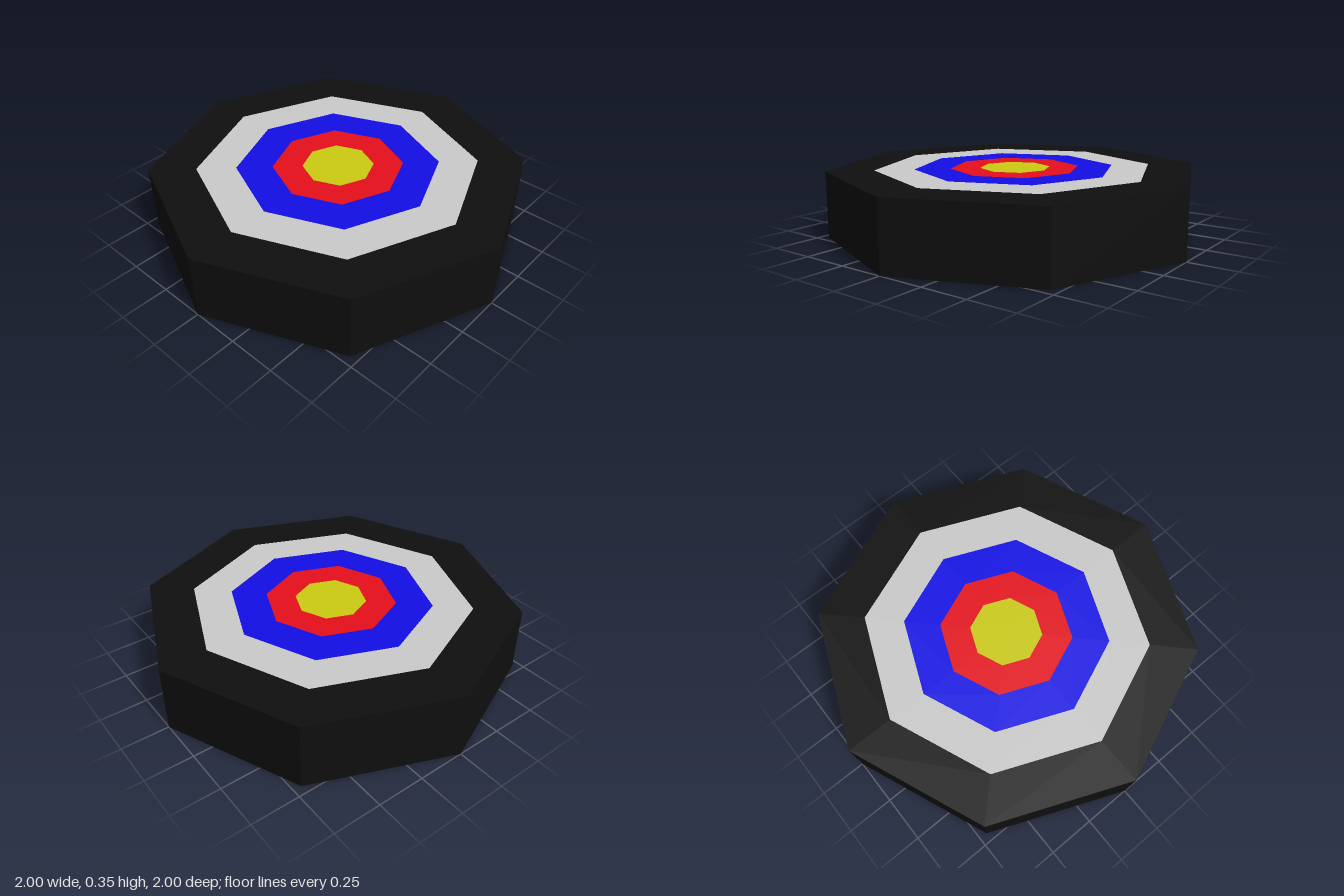
import * as THREE from 'three';

const SIDES = 8;
const HEIGHT = 0.355;

function material(color) {
  return new THREE.MeshStandardMaterial({ color, flatShading: true });
}

function addMesh(group, name, geometry, mat) {
  const mesh = new THREE.Mesh(geometry, mat);
  mesh.name = name;
  group.add(mesh);
}

// Flat octagonal band lying on the top face
function band(inner, outer) {
  const geometry = inner > 0
    ? new THREE.RingGeometry(inner, outer, SIDES, 1)
    : new THREE.CircleGeometry(outer, SIDES);
  return geometry.rotateX(-Math.PI / 2).translate(0, HEIGHT, 0);
}

export function createModel() {
  const target = new THREE.Group();
  target.name = 'target';
  const black = material(0x0f0f0f);

  // Thick octagonal body: rim and underside
  addMesh(target, 'rim',
    new THREE.CylinderGeometry(1, 1, HEIGHT, SIDES, 1, true).translate(0, HEIGHT / 2, 0), black);
  addMesh(target, 'underside',
    new THREE.CircleGeometry(1, SIDES).rotateX(Math.PI / 2), black);

  // Concentric bands share edges, so the top stays flush
  const bands = [
    ['outerBand', 1, black],
    ['greyBand', 0.75, material(0xcccccc)],
    ['blueBand', 0.54, material(0x120ee7)],
    ['redBand', 0.348, material(0xe70f1c)],
    ['bullseye', 0.19, material(0xcccc12)],
  ];
  bands.forEach(([name, outer, mat], i) => {
    const inner = i + 1 < bands.length ? bands[i + 1][1] : 0;
    addMesh(target, name, band(inner, outer), mat);
  });

  return target;
}
